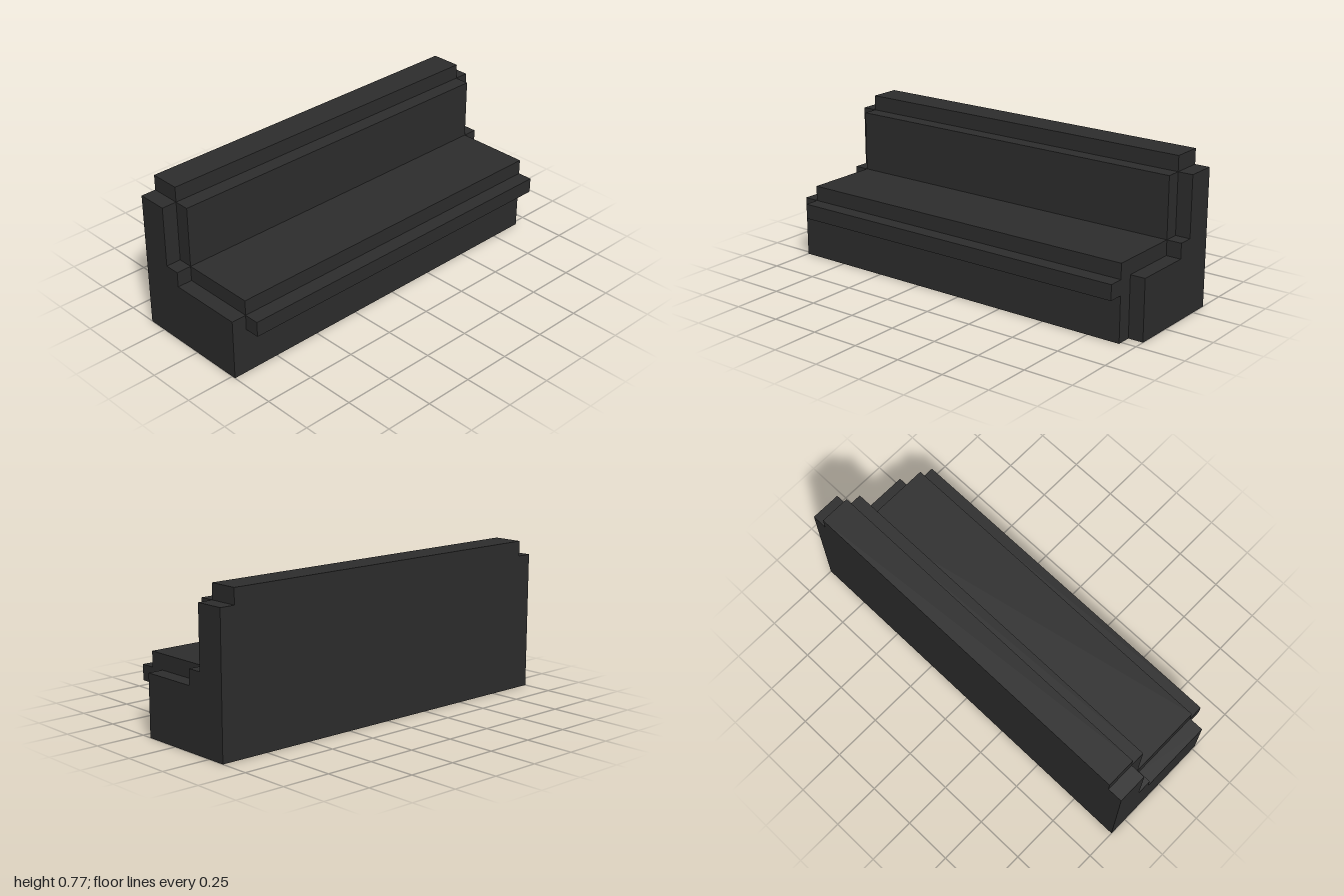
import * as THREE from 'three';

// Every size is a whole number of square modules: 26 wide, 10 high, 9 deep.
const U = 2 / 26;

export function createModel() {
  const bench = new THREE.Group();
  bench.name = 'bench';
  const charcoal = new THREE.MeshStandardMaterial({ color: 0x2d2d2d });
  charcoal.name = 'charcoal';

  // Extrudes a side profile of [z, y] points from x0 to x1, all in modules.
  function addProfile(name, points, x0, x1) {
    const shape = new THREE.Shape(points.map(([z, y]) => new THREE.Vector2(-z * U, y * U)));
    const geometry = new THREE.ExtrudeGeometry(shape, { depth: (x1 - x0) * U, bevelEnabled: false });
    geometry.rotateY(Math.PI / 2).translate(x0 * U, 0, 0);
    const mesh = new THREE.Mesh(geometry, charcoal);
    mesh.name = name;
    bench.add(mesh);
  }

  // Seat with its front lip, and the stepped backrest
  addProfile('seatAndBackrest', [
    [3.5, 0], [3.5, 3], [4.5, 3], [4.5, 4], [3.5, 4], [3.5, 5],
    [-1.5, 5], [-1.5, 9], [-2.5, 9], [-2.5, 10], [-4.5, 10], [-4.5, 0],
  ], -12, 12);

  // Stepped end panels; the left one is set back at the front
  const endProfile = (front) => [
    [front, 0], [front, 4], [-1.5, 4], [-1.5, 5], [-2.5, 5], [-2.5, 9], [-4.5, 9], [-4.5, 0],
  ];
  addProfile('rightEndPanel', endProfile(3.5), -13, -12);
  addProfile('leftEndPanel', endProfile(2.5), 12, 13);

  return bench;
}
